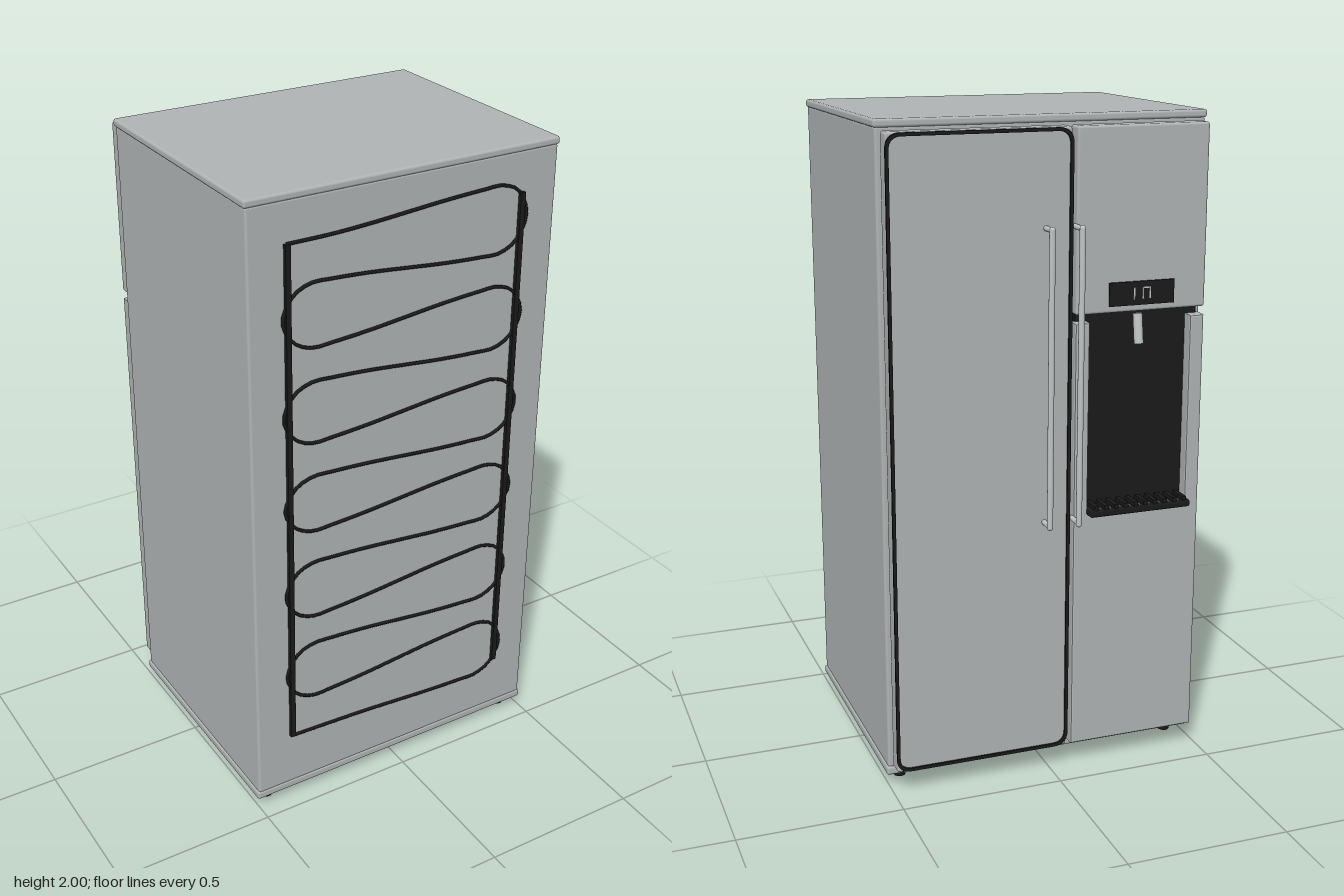
import * as THREE from 'three';
import { RoundedBoxGeometry } from 'three/addons/geometries/RoundedBoxGeometry.js';

export function createModel() {
  const fridge = new THREE.Group();
  fridge.name = 'refrigerator';
  const mat = (name, color) => {
    const m = new THREE.MeshStandardMaterial({ color });
    m.name = name;
    return m;
  };
  const steel = mat('brushed steel', 0xb0b4b4);
  const chrome = mat('light metal', 0xc0c4c4);
  const black = mat('black plastic', 0x1a1a1a);

  const add = (name, geometry, material, x = 0, y = 0, z = 0) => {
    const mesh = new THREE.Mesh(geometry, material);
    mesh.name = name;
    mesh.position.set(x, y, z);
    fridge.add(mesh);
    return mesh;
  };
  // Box given by its limits, with optional rounded edges
  const box = (name, material, x0, x1, y0, y1, z0, z1, r = 0) => {
    const w = x1 - x0, h = y1 - y0, d = z1 - z0;
    const geo = r ? new RoundedBoxGeometry(w, h, d, 2, r) : new THREE.BoxGeometry(w, h, d);
    return add(name, geo, material, (x0 + x1) / 2, (y0 + y1) / 2, (z0 + z1) / 2);
  };

  // Cabinet
  box('cabinet', steel, -0.5, 0.5, 0.055, 1.98, -0.34, 0.448, 0.008);
  box('topPanel', steel, -0.505, 0.505, 1.976, 2, -0.345, 0.45, 0.008);
  box('basePanel', steel, -0.505, 0.505, 0.032, 0.06, -0.345, 0.45, 0.008);
  for (const x of [-0.45, 0.45]) {
    for (const z of [-0.285, 0.4]) {
      add('foot', new THREE.CylinderGeometry(0.018, 0.018, 0.034, 16), black, x, 0.017, z);
    }
  }
  box('doorGasketSmall', black, -0.455, -0.09, 0.1, 1.94, -0.358, -0.338);
  box('doorGasketLarge', black, -0.035, 0.455, 0.1, 1.94, -0.358, -0.338);

  // Large door with a thin dark outline
  box('largeDoor', steel, -0.055, 0.49, 0.07, 1.97, -0.408, -0.353, 0.008);
  const roundRect = (C, x0, x1, y0, y1, r) => {
    const p = new C();
    p.moveTo(x0 + r, y0);
    p.lineTo(x1 - r, y0);
    p.quadraticCurveTo(x1, y0, x1, y0 + r);
    p.lineTo(x1, y1 - r);
    p.quadraticCurveTo(x1, y1, x1 - r, y1);
    p.lineTo(x0 + r, y1);
    p.quadraticCurveTo(x0, y1, x0, y1 - r);
    p.lineTo(x0, y0 + r);
    p.quadraticCurveTo(x0, y0, x0 + r, y0);
    return p;
  };
  const trim = roundRect(THREE.Shape, -0.057, 0.492, 0.072, 1.968, 0.045);
  trim.holes.push(roundRect(THREE.Path, -0.047, 0.482, 0.082, 1.958, 0.038));
  add('doorTrim', new THREE.ExtrudeGeometry(trim, { depth: 0.007, bevelEnabled: false, curveSegments: 8 }),
    black, 0, 0, -0.414);

  // Small door: upper panel and lower panel notched for the dispenser
  box('smallDoorUpper', steel, -0.482, -0.07, 1.43, 1.97, -0.41, -0.353, 0.008);
  const b = 0.006;
  const notched = new THREE.Shape([
    [-0.482 + b, 0.07 + b], [-0.07 - b, 0.07 + b], [-0.07 - b, 1.405 - b], [-0.115 + b, 1.405 - b],
    [-0.115 + b, 0.825 - b], [-0.437 - b, 0.825 - b], [-0.437 - b, 1.405 - b], [-0.482 + b, 1.405 - b],
  ].map(([x, y]) => new THREE.Vector2(x, y)));
  add('smallDoorLower', new THREE.ExtrudeGeometry(notched, {
    depth: 0.057 - 2 * b, bevelEnabled: true, bevelSize: b, bevelThickness: b, bevelSegments: 2,
  }), steel, 0, 0, -0.41 + b);

  // Dispenser recess, drip tray, nozzle and display
  box('dispenserBack', black, -0.472, -0.08, 0.81, 1.44, -0.372, -0.355);
  box('dripTray', black, -0.44, -0.112, 0.818, 0.84, -0.443, -0.365, 0.006);
  for (let i = 0; i < 10; i++) {
    const x = -0.42 + i * 0.032;
    box('trayRib', black, x - 0.007, x + 0.007, 0.838, 0.852, -0.44, -0.375);
  }
  for (let i = 0; i < 9; i++) {
    const x = -0.404 + i * 0.032;
    box('traySlot', chrome, x - 0.0015, x + 0.0015, 0.838, 0.842, -0.436, -0.42);
  }
  const nozzle = add('nozzle', new THREE.CylinderGeometry(0.014, 0.014, 0.09, 16), chrome, -0.275, 1.375, -0.393);
  nozzle.rotation.x = 0.15;
  box('displayPanel', black, -0.378, -0.172, 1.45, 1.52, -0.416, -0.408);
  for (const x of [-0.3, -0.278, -0.25]) {
    box('displayMark', chrome, x - 0.002, x + 0.002, 1.468, 1.502, -0.418, -0.415);
  }
  box('displayMark', chrome, -0.3, -0.278, 1.499, 1.503, -0.418, -0.415);

  // Door handles
  for (const x of [-0.068, 0.024]) {
    add('handleBar', new THREE.CapsuleGeometry(0.009, 0.88, 6, 16), chrome, x, 1.25, -0.456);
    for (const y of [0.812, 1.688]) {
      const post = add('handlePost', new THREE.CylinderGeometry(0.008, 0.008, 0.06, 12), chrome, x, y, -0.428);
      post.rotation.x = Math.PI / 2;
    }
  }

  // Condenser: two rails and one winding wire
  for (const x of [-0.382, 0.378]) {
    box('condenserRail', black, x - 0.008, x + 0.008, 0.24, 1.86, 0.445, 0.46);
  }
  const leftY = [1.86, 1.735, 1.545, 1.44, 1.25, 1.14, 0.96, 0.85, 0.662, 0.56, 0.367, 0.235];
  const rightY = [1.892, 1.69, 1.587, 1.393, 1.29, 1.1, 0.998, 0.81, 0.705, 0.512, 0.41, 0.205];
  const pts = [];
  const point = (x, y) => pts.push(new THREE.Vector3(x, y, 0.453));
  for (let i = 0; i < 12; i++) {
    const s = i % 2 ? 1 : -1;
    const from = i % 2 ? rightY[i] : leftY[i];
    const to = i % 2 ? leftY[i] : rightY[i];
    if (i === 0) point(-0.385, from);
    else {
      point(s * 0.365, from + 0.028);
      point(s * 0.31, from);
    }
    for (const t of [0.1, 0.3, 0.5, 0.7, 0.9]) {
      point(s * (0.3 - 0.6 * t), from + (to - from) * THREE.MathUtils.smoothstep(t, 0, 1));
    }
    if (i === 11) point(-0.385, to + 0.005);
    else {
      const next = i % 2 ? leftY[i + 1] : rightY[i + 1];
      point(-s * 0.31, to);
      point(-s * 0.365, to - 0.025);
      point(-s * 0.398, (to + next) / 2);
    }
  }
  const wire = new THREE.CatmullRomCurve3(pts, false, 'centripetal');
  add('condenserWire', new THREE.TubeGeometry(wire, 420, 0.005, 6, false), black);

  return fridge;
}
